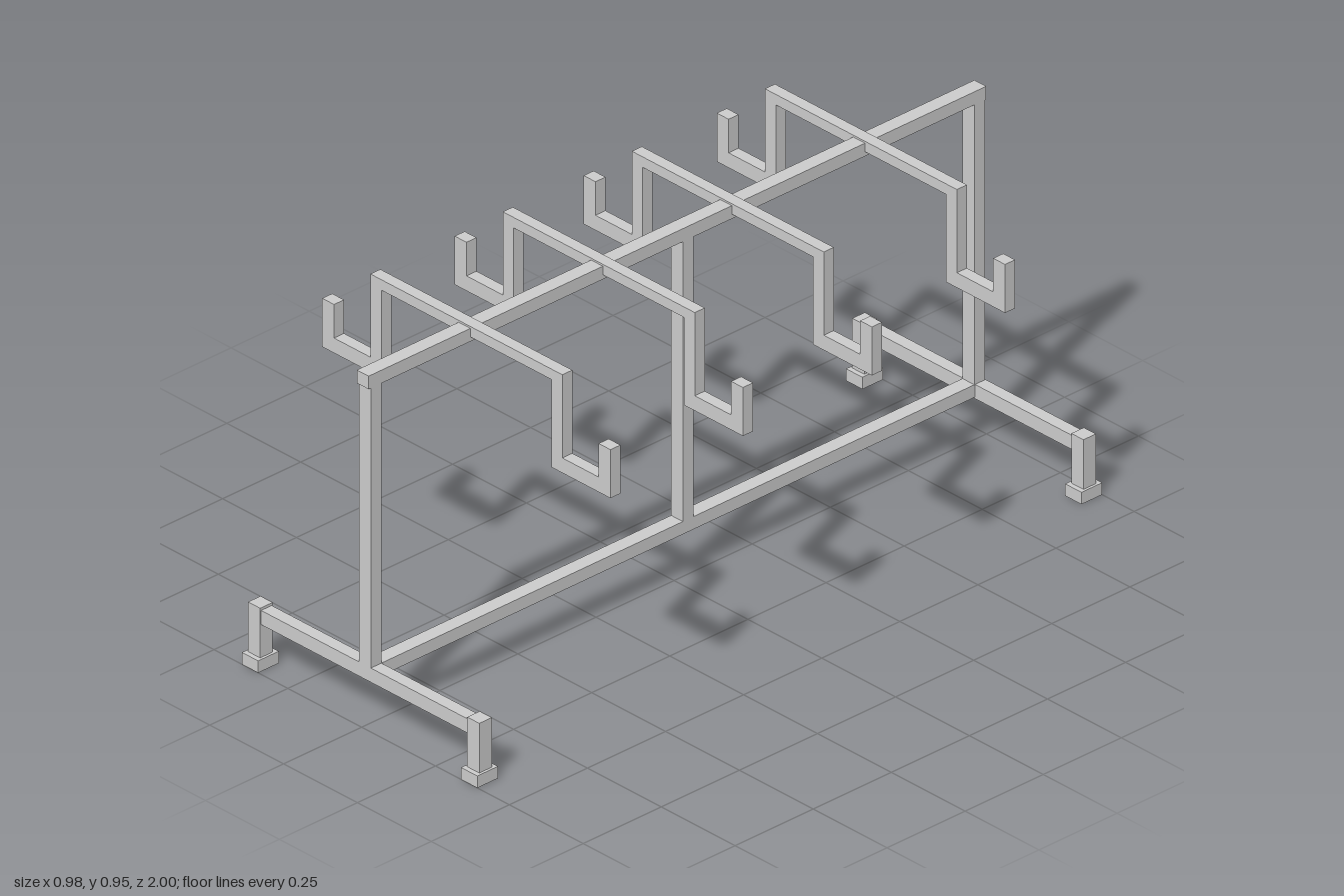
import * as THREE from 'three';

const material = new THREE.MeshStandardMaterial({ color: 0xcccccc, flatShading: true });
const CX = -0.006; // centre line of the frame

// Box given by its extents on each axis
function bar(parent, name, [x0, x1], [y0, y1], [z0, z1]) {
  const mesh = new THREE.Mesh(new THREE.BoxGeometry(x1 - x0, y1 - y0, z1 - z0), material);
  mesh.position.set((x0 + x1) / 2, (y0 + y1) / 2, (z0 + z1) / 2);
  mesh.name = name;
  parent.add(mesh);
}

const around = (centre, size) => [centre - size / 2, centre + size / 2];

// Square-tube hanger with an upturned hook at each end
function hangerGeometry(depth) {
  const half = [
    [0.325, 0.948], [0.325, 0.725], [0.448, 0.725], [0.448, 0.815],
    [0.488, 0.815], [0.488, 0.685], [0.288, 0.685], [0.288, 0.92],
  ];
  const mirror = ([x, y]) => [-x, y];
  const outline = [...half, ...half.map(mirror).reverse()];
  const shape = new THREE.Shape(outline.map(([x, y]) => new THREE.Vector2(x, y)));
  return new THREE.ExtrudeGeometry(shape, { depth, bevelEnabled: false }).translate(0, 0, -depth / 2);
}

export function createModel() {
  const rack = new THREE.Group();
  rack.name = 'hangingRack';
  const tubeX = around(CX, 0.04);

  // Long rails
  bar(rack, 'topRail', tubeX, [0.908, 0.943], [-0.986, 0.991]);
  bar(rack, 'bottomRail', tubeX, [0.124, 0.158], [-0.95, 0.95]);

  // Uprights
  for (const z of [-0.965, -0.032, 0.967]) {
    bar(rack, 'upright', tubeX, [z === -0.032 ? 0.158 : 0.14, 0.908], around(z, 0.034));
  }

  // End feet: cross bar, two legs and their pads
  for (const z of [-0.967, 0.967]) {
    const foot = new THREE.Group();
    foot.name = z > 0 ? 'frontFoot' : 'backFoot';
    bar(foot, 'crossBar', [-0.358, 0.345], [0.12, 0.158], around(z, 0.034));
    for (const side of [-1, 1]) {
      const x = CX - 0.001 + side * 0.371;
      bar(foot, 'leg', around(x, 0.041), [0.032, 0.165], around(z, 0.04));
      bar(foot, 'footPad', around(x, 0.055), [0, 0.032], around(z, 0.066));
    }
    rack.add(foot);
  }

  // Hook hangers
  const geometry = hangerGeometry(0.032);
  for (const z of [-0.614, -0.188, 0.225, 0.649]) {
    const hanger = new THREE.Mesh(geometry, material);
    hanger.name = 'hookHanger';
    hanger.position.z = z;
    rack.add(hanger);
  }
  return rack;
}
